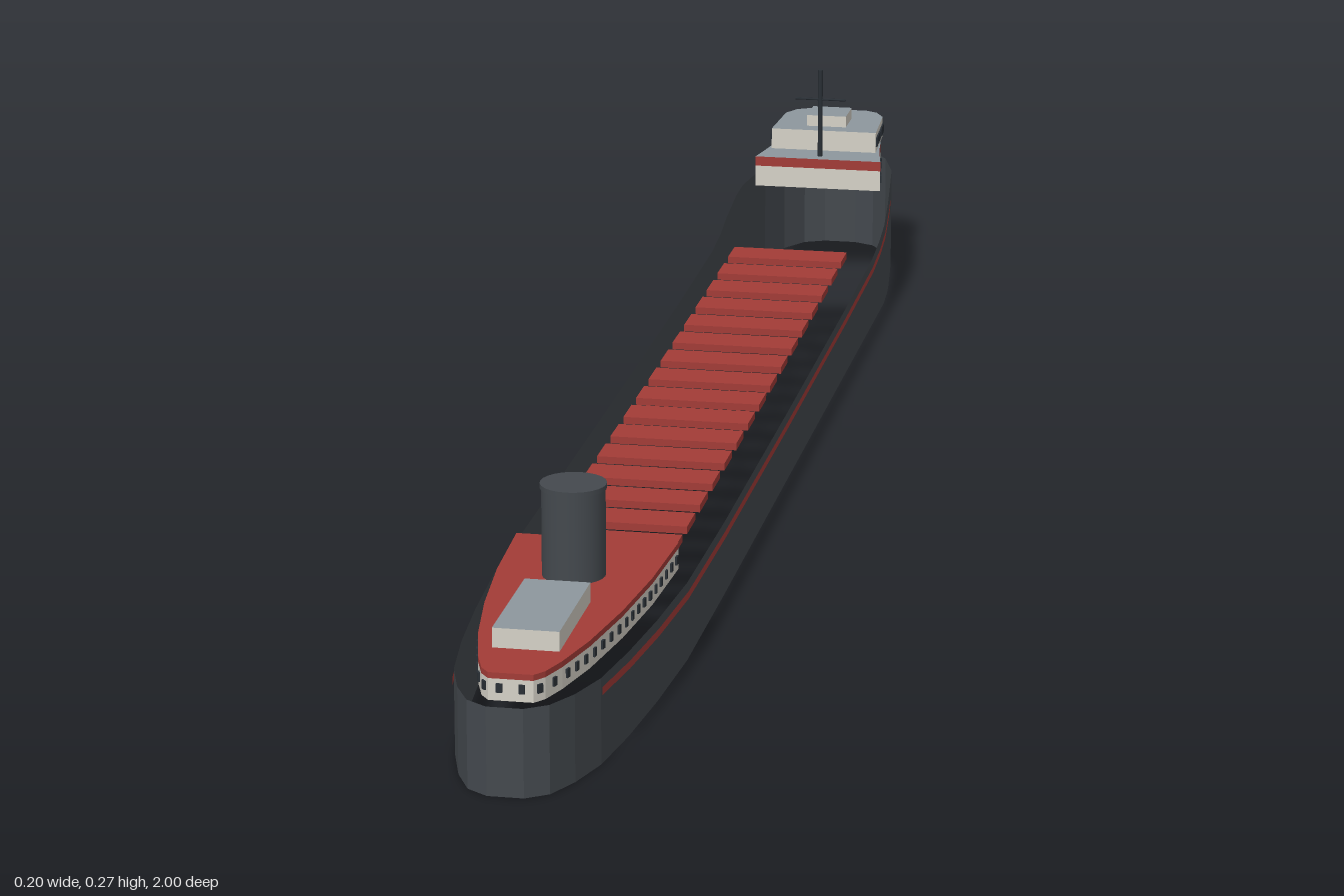
import * as THREE from 'three';

const mat = (name, color, side = THREE.FrontSide) => {
  const m = new THREE.MeshStandardMaterial({ color, side });
  m.name = name;
  return m;
};

export function createModel() {
  const ship = new THREE.Group();
  ship.name = 'cargoShip';
  const D = THREE.DoubleSide;
  const charcoal = mat('hull charcoal', 0x44494e, D);
  const red = mat('deck red', 0xa33c37, D);
  const cream = mat('cabin cream', 0xd6d2c8, D);
  const grey = mat('roof grey', 0x8d979d);
  const dark = mat('window dark', 0x2a3036);

  const add = (name, geo, material, x = 0, y = 0, z = 0, parent = ship) => {
    const m = new THREE.Mesh(geo, material);
    m.name = name;
    m.position.set(x, y, z);
    parent.add(m);
    return m;
  };

  // Closed plan outline from [z, halfWidth, ...] stations, mirrored across x
  const outline = (st) => [
    ...st.map(([z, w, t]) => [w, z, t]),
    ...[...st].reverse().map(([z, w, t]) => [-w, z, t]),
  ];

  // Upright faceted strip along a path of [x, z, top]
  const wall = (path, bottom, top, closed = true) => {
    const pos = [];
    const n = closed ? path.length : path.length - 1;
    for (let i = 0; i < n; i++) {
      const a = path[i], b = path[(i + 1) % path.length];
      const a0 = [a[0], bottom(a), a[1]], a1 = [a[0], top(a), a[1]];
      const b0 = [b[0], bottom(b), b[1]], b1 = [b[0], top(b), b[1]];
      pos.push(...a0, ...a1, ...b1, ...a0, ...b1, ...b0);
    }
    const g = new THREE.BufferGeometry();
    g.setAttribute('position', new THREE.Float32BufferAttribute(pos, 3));
    g.computeVertexNormals();
    return g;
  };

  // Flat slab with the given plan; groups are caps, then sides
  const slab = (path, height) => {
    const shape = new THREE.Shape(path.map(([x, z]) => new THREE.Vector2(x, -z)));
    return new THREE.ExtrudeGeometry(shape, { depth: height, bevelEnabled: false }).rotateX(-Math.PI / 2);
  };

  // Evenly spaced thin windows on each straight run of an outline
  const windows = (name, path, y, w, h, spacing, accept = () => true) => {
    const group = new THREE.Group();
    group.name = name;
    const geo = new THREE.BoxGeometry(w, h, 0.004);
    path.forEach((a, i) => {
      const b = path[(i + 1) % path.length];
      const dx = b[0] - a[0], dz = b[1] - a[1];
      const len = Math.hypot(dx, dz), count = Math.round(len / spacing);
      if (!accept(dz / len, -dx / len)) return;
      for (let k = 0; k < count; k++) {
        const t = (k + 0.5) / count;
        add('window', geo, dark, a[0] + dx * t, y, a[1] + dz * t, group).rotation.y = Math.atan2(dz, -dx);
      }
    });
    ship.add(group);
  };

  // Hull: open ring of plating, stations are [z, halfWidth, sheer height]
  const hull = [
    [-1, 0.02, 0.127], [-0.988, 0.045, 0.127], [-0.955, 0.066, 0.126], [-0.9, 0.082, 0.125],
    [-0.8, 0.094, 0.123], [-0.77, 0.097, 0.117], [-0.72, 0.1, 0.102], [-0.68, 0.1, 0.092],
    [-0.62, 0.1, 0.085], [-0.4, 0.1, 0.081], [0, 0.1, 0.079], [0.4, 0.1, 0.08],
    [0.6, 0.099, 0.083], [0.72, 0.092, 0.085], [0.82, 0.083, 0.087], [0.9, 0.072, 0.088],
    [0.95, 0.057, 0.089], [0.985, 0.04, 0.09], [1, 0.018, 0.09],
  ];
  add('hull', wall(outline(hull), () => 0, (p) => p[2]), charcoal);

  // Red sheer stripe down each side
  const stripe = hull.slice(4, 16).map(([z, w, t]) => [w + 0.0015, z, t]);
  const stripeGeo = (path) => wall(path, (p) => p[2] - 0.017, (p) => p[2] - 0.009, false);
  add('leftStripe', stripeGeo(stripe), red);
  add('rightStripe', stripeGeo(stripe.map(([x, z, t]) => [-x, z, t]).reverse()), red);

  // Hatch covers follow the gentle sheer
  const hatchGeo = new THREE.BoxGeometry(0.14, 0.008, 0.046);
  for (let i = 0; i < 16; i++) {
    const z = -0.587 + i * 0.0722;
    add('hatchCover', hatchGeo, red, 0, 0.086 + 0.012 * Math.max(0, -z) ** 1.5, z);
  }

  // After deckhouse, roof deck, windows
  const after = outline([
    [0.568, 0.084], [0.68, 0.079], [0.78, 0.069], [0.87, 0.055], [0.93, 0.041], [0.96, 0.031], [0.972, 0.022],
  ]);
  add('afterHouseWalls', wall(after, () => 0.086, () => 0.108), cream);
  add('afterHouseRoof', slab(after, 0.006), red, 0, 0.108, 0);
  windows('afterHouseWindows', after, 0.099, 0.006, 0.009, 0.022);

  // Cabin on the after deckhouse
  const rect = (w, z0, z1) => outline([[z0, w], [z1, w]]);
  add('afterCabin', slab(rect(0.033, 0.76, 0.905), 0.02), [grey, cream], 0, 0.114, 0);

  // Funnel with a rim
  add('funnel', new THREE.CylinderGeometry(0.032, 0.032, 0.092, 24), charcoal, 0, 0.16, 0.682);
  add('funnelRim', new THREE.CylinderGeometry(0.0335, 0.0335, 0.005, 24), charcoal, 0, 0.2075, 0.682);

  // Forward house: cream lower walls, red band with grey deck, bridge on top
  const lower = outline([[-0.972, 0.035], [-0.955, 0.053], [-0.915, 0.065], [-0.865, 0.071], [-0.815, 0.08]]);
  add('forwardHouseWalls', wall(lower, () => 0.12, () => 0.146), cream);
  add('forwardHouseBand', slab(lower, 0.012), [grey, red], 0, 0.146, 0);
  const notAft = (nx, nz) => nz < 0.8;
  windows('forwardHouseWindows', lower, 0.134, 0.007, 0.009, 0.02, notAft);

  const bridge = outline([[-0.974, 0.038], [-0.966, 0.052], [-0.945, 0.063], [-0.86, 0.067]]);
  add('bridge', slab(bridge, 0.026), [grey, cream], 0, 0.158, 0);
  windows('bridgeWindows', bridge, 0.171, 0.011, 0.011, 0.015, notAft);
  add('bridgeTopBox', slab(rect(0.025, -0.93, -0.882), 0.014), [grey, cream], 0, 0.184, 0);

  // Mast and yard
  add('mast', new THREE.CylinderGeometry(0.003, 0.003, 0.115, 8), dark, 0, 0.2125, -0.832);
  add('yard', new THREE.CylinderGeometry(0.0015, 0.0015, 0.064, 6).rotateZ(Math.PI / 2), dark, 0, 0.232, -0.832);

  return ship;
}
